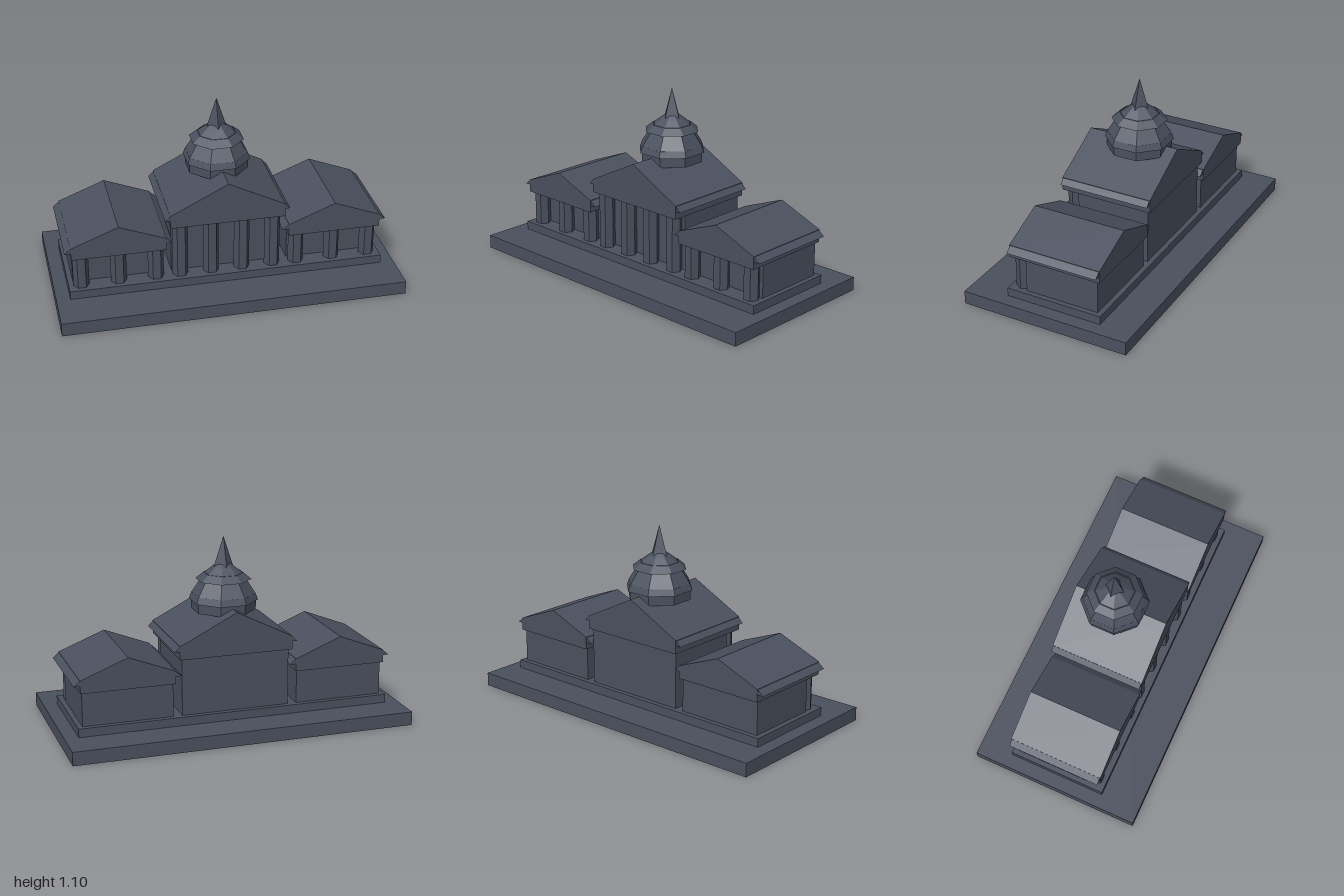
import * as THREE from 'three';

const material = new THREE.MeshStandardMaterial({ color: 0x4a505e, flatShading: true, roughness: 0.9 });

function add(parent, name, geometry, x = 0, y = 0, z = 0) {
  const mesh = new THREE.Mesh(geometry, material);
  mesh.name = name;
  mesh.position.set(x, y, z);
  parent.add(mesh);
  return mesh;
}

// Box given by its extents in y and z, centred on x
function slab(parent, name, halfWidth, y0, y1, z0, z1) {
  add(parent, name, new THREE.BoxGeometry(halfWidth * 2, y1 - y0, z1 - z0), 0, (y0 + y1) / 2, (z0 + z1) / 2);
}

// Outline in x and y, extruded from z0 to z1
function prism(parent, name, points, z0, z1) {
  const shape = new THREE.Shape(points.map(([x, y]) => new THREE.Vector2(x, y)));
  add(parent, name, new THREE.ExtrudeGeometry(shape, { depth: z1 - z0, bevelEnabled: false }), 0, 0, z0);
}

// Temple block: hall, portico columns, gabled roof and projecting eaves
function temple(name, x, o) {
  const group = new THREE.Group();
  group.name = name;
  group.position.x = x;
  slab(group, 'hall', o.hall, 0.13, o.wallTop, -0.28, 0.167);

  const height = o.wallTop - 0.13;
  const columnGeometry = new THREE.CylinderGeometry(0.046, 0.046, height, 6).rotateY(Math.PI / 6);
  for (let i = 0; i < o.columns; i++) {
    const cx = (i / (o.columns - 1) * 2 - 1) * o.columnSpan;
    add(group, 'column', columnGeometry, cx, 0.13 + height / 2, 0.207);
  }

  const w = o.roof;
  prism(group, 'gabledRoof', [[-w, o.wallTop], [w, o.wallTop], [w, o.eaveTop], [0, o.peak], [-w, o.eaveTop]], -0.3, 0.262);
  for (const s of [-1, 1]) {
    const wedge = [[s * (w - 0.02), o.eaveTop - 0.033], [s * o.eave, o.eaveTop - 0.033], [s * w, o.eaveTop - 0.003], [s * (w - 0.02), o.eaveTop - 0.003]];
    prism(group, 'eave', wedge, -0.296, 0.258);
  }
  return group;
}

// Octagonal solid from [distance to flat side, height] pairs
function octagon(profile) {
  const points = profile.map(([r, y]) => new THREE.Vector2(r / Math.cos(Math.PI / 8), y));
  return new THREE.LatheGeometry(points, 8).rotateY(Math.PI / 8);
}

export function createModel() {
  const model = new THREE.Group();
  model.name = 'domedHall';

  // Stepped ground
  slab(model, 'base', 1, 0, 0.08, -0.51, 0.51);
  slab(model, 'plinth', 0.92, 0.08, 0.13, -0.31, 0.275);

  // Central hall and two wings
  model.add(temple('centralHall', 0, {
    hall: 0.317, wallTop: 0.463, columns: 4, columnSpan: 0.271,
    roof: 0.333, eaveTop: 0.542, eave: 0.363, peak: 0.71,
  }));
  for (const [name, side] of [['leftWing', 1], ['rightWing', -1]]) {
    model.add(temple(name, side * 0.63, {
      hall: 0.261, wallTop: 0.328, columns: 3, columnSpan: 0.216,
      roof: 0.272, eaveTop: 0.403, eave: 0.308, peak: 0.51,
    }));
  }

  // Dome
  const dome = new THREE.Group();
  dome.name = 'dome';
  dome.position.z = -0.057;
  model.add(dome);
  add(dome, 'drum', octagon([[0, 0.67], [0.172, 0.67], [0.172, 0.73], [0, 0.73]]));
  add(dome, 'lowerCornice', octagon([[0, 0.727], [0.183, 0.727], [0.17, 0.765], [0, 0.765]]));
  add(dome, 'shell', octagon([[0.17, 0.764], [0.12, 0.848]]));
  add(dome, 'upperCornice', octagon([[0, 0.847], [0.148, 0.847], [0.106, 0.884], [0, 0.884]]));
  add(dome, 'cap', octagon([[0.106, 0.88], [0.058, 0.92], [0.035, 0.938], [0, 0.938]]));
  add(dome, 'spire', new THREE.ConeGeometry(0.058, 0.178, 4), 0, 1.007, 0);

  return model;
}
